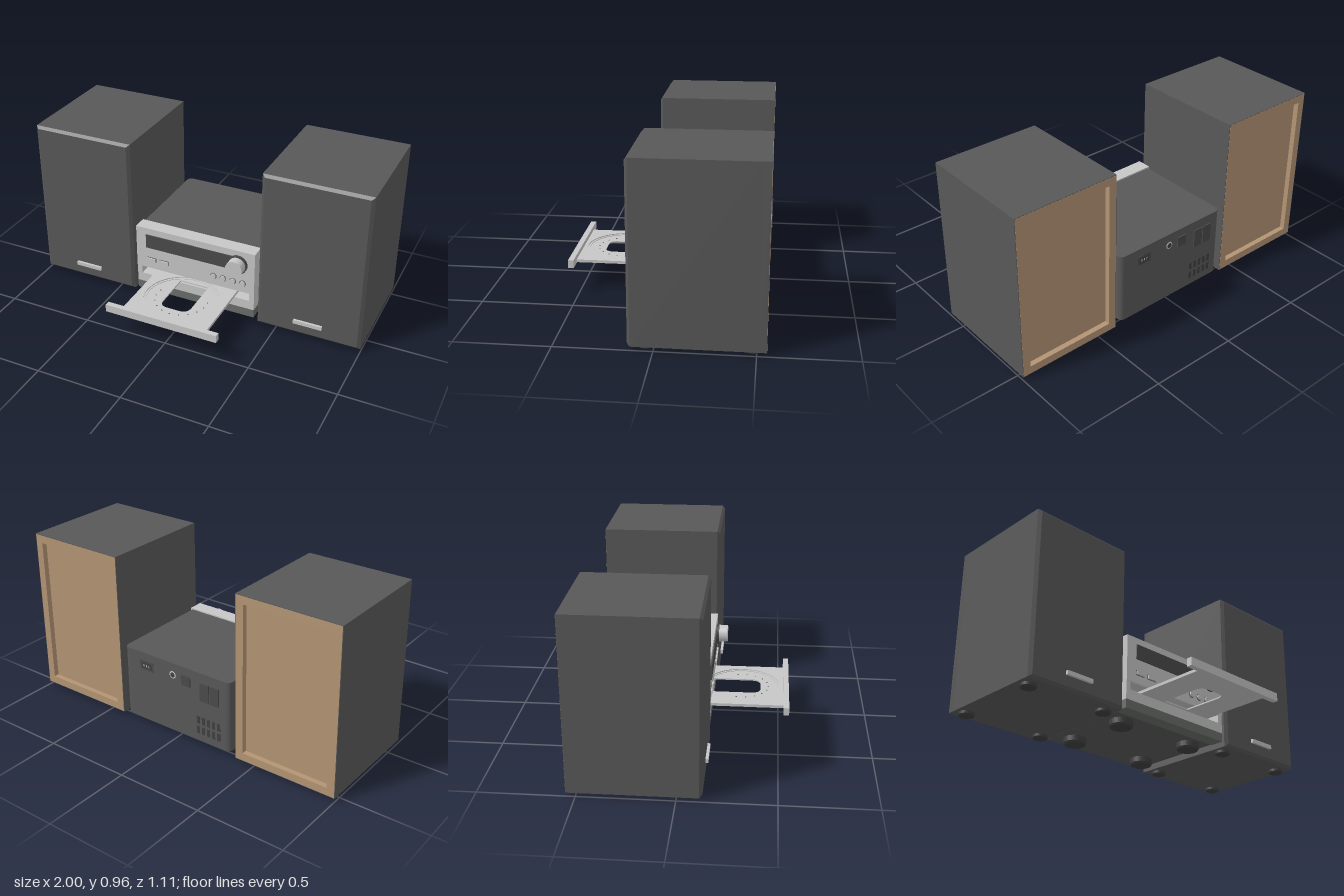
import * as THREE from 'three';

const mat = (name, color, side = THREE.FrontSide) => {
  const m = new THREE.MeshStandardMaterial({ color, side });
  m.name = name;
  return m;
};

export function createModel() {
  const dark = mat('charcoal casing', 0x585858);
  const black = mat('black rubber', 0x404040);
  const glass = mat('display black', 0x4a4a4a);
  const silver = mat('silver', 0xc6c6c6);
  const strip = mat('base grey', 0x696d69);
  const wood = mat('fibreboard', 0xb39473);

  const root = new THREE.Group();
  root.name = 'stereoSystem';

  const add = (parent, name, geo, material, x = 0, y = 0, z = 0) => {
    const m = new THREE.Mesh(geo, material);
    m.name = name;
    m.position.set(x, y, z);
    parent.add(m);
    return m;
  };
  // Box given by its limits on each axis
  const box = (parent, name, material, x0, x1, y0, y1, z0, z1) =>
    add(parent, name, new THREE.BoxGeometry(x1 - x0, y1 - y0, z1 - z0), material,
      (x0 + x1) / 2, (y0 + y1) / 2, (z0 + z1) / 2);
  // Disc or knob facing along z
  const disc = (parent, name, material, r, x, y, z0, z1, rFront = r) =>
    add(parent, name, new THREE.CylinderGeometry(rFront, r, z1 - z0, 40).rotateX(Math.PI / 2),
      material, x, y, (z0 + z1) / 2);
  const rect = (x0, x1, y0, y1, Kind = THREE.Shape) => {
    const s = new Kind();
    s.moveTo(x0, y0);
    s.lineTo(x1, y0);
    s.lineTo(x1, y1);
    s.lineTo(x0, y1);
    s.closePath();
    return s;
  };
  const extrude = (shape, depth) =>
    new THREE.ExtrudeGeometry(shape, { depth, bevelEnabled: false, curveSegments: 32 });
  // Rectangular frame lying in the xy plane
  const frame = (w, h, border, depth) => {
    const s = rect(-w / 2, w / 2, -h / 2, h / 2);
    const a = w / 2 - border, b = h / 2 - border;
    s.holes.push(rect(-a, a, -b, b, THREE.Path));
    return extrude(s, depth);
  };
  const foot = (parent, r, h, x, z) => {
    const profile = [[0, 0], [r * 0.9, 0], [r, h * 0.25], [r, h]].map(p => new THREE.Vector2(...p));
    const g = new THREE.LatheGeometry(profile, 32).toNonIndexed();
    g.computeVertexNormals();
    add(parent, 'foot', g, black, x, 0, z);
  };

  // ---- Speakers ----
  const W = 0.606, H = 0.945, midY = 0.4925;
  for (const side of [-1, 1]) {
    const sp = new THREE.Group();
    sp.name = side > 0 ? 'leftSpeaker' : 'rightSpeaker';
    sp.position.x = side * 0.697;
    root.add(sp);
    box(sp, 'cabinet', dark, -W / 2, W / 2, 0.02, 0.965, -0.51, 0.115);
    add(sp, 'cabinetRearEdge', frame(W, H, 0.003, 0.039), dark, 0, midY, -0.549);
    add(sp, 'rearFrame', frame(W - 0.006, H - 0.006, 0.044, 0.037), wood, 0, midY, -0.55);
    box(sp, 'rearPanel', wood, -0.27, 0.27, 0.06, 0.925, -0.52, -0.505);
    // Grille with its front edges chamfered
    const grille = new THREE.BoxGeometry(W, H, 0.015);
    const p = grille.attributes.position;
    for (let i = 0; i < p.count; i++) {
      if (p.getZ(i) > 0) {
        p.setX(i, p.getX(i) - Math.sign(p.getX(i)) * 0.018);
        p.setY(i, p.getY(i) - Math.sign(p.getY(i)) * 0.015);
      }
    }
    grille.computeVertexNormals();
    add(sp, 'grille', grille, dark, 0, midY, 0.1225);
    box(sp, 'badge', silver, -0.083, 0.083, 0.093, 0.115, 0.129, 0.145);
    for (const x of [-0.24, 0.24]) for (const z of [0.043, -0.48]) foot(sp, 0.042, 0.021, x, z);
  }

  // ---- Receiver casing with rounded rear corners ----
  const rc = new THREE.Group();
  rc.name = 'receiver';
  root.add(rc);
  const plan = new THREE.Shape();
  plan.moveTo(-0.36, 0.04);
  plan.lineTo(-0.36, -0.515);
  plan.quadraticCurveTo(-0.36, -0.55, -0.325, -0.55);
  plan.lineTo(0.325, -0.55);
  plan.quadraticCurveTo(0.36, -0.55, 0.36, -0.515);
  plan.lineTo(0.36, 0.04);
  add(rc, 'casing', extrude(plan, 0.412).rotateX(Math.PI / 2), dark, 0, 0.452, 0);
  for (const x of [-0.255, 0.255]) for (const z of [-0.042, -0.425]) foot(rc, 0.065, 0.041, x, z);

  // ---- Front panel ----
  box(rc, 'upperFascia', silver, -0.37, 0.37, 0.197, 0.46, 0.04, 0.124);
  const lower = rect(-0.37, 0.37, 0.09, 0.197);
  lower.holes.push(rect(-0.34, 0.34, 0.146, 0.194, THREE.Path));
  add(rc, 'lowerFascia', extrude(lower, 0.081), silver, 0, 0, 0.04);
  box(rc, 'bayBack', silver, -0.345, 0.345, 0.14, 0.196, 0.038, 0.045);
  box(rc, 'baseStrip', strip, -0.37, 0.37, 0.04, 0.09, 0.04, 0.121);
  box(rc, 'display', glass, -0.305, 0.3, 0.335, 0.42, 0.12, 0.131);
  disc(rc, 'knobRing', glass, 0.057, 0.27, 0.375, 0.12, 0.14);
  disc(rc, 'knob', silver, 0.05, 0.27, 0.375, 0.13, 0.19);
  for (const x of [-0.275, -0.192]) {
    box(rc, 'buttonSurround', strip, x - 0.031, x + 0.031, 0.242, 0.27, 0.12, 0.126);
    box(rc, 'button', silver, x - 0.027, x + 0.027, 0.246, 0.266, 0.12, 0.133);
  }
  for (const x of [0.12, 0.18, 0.24, 0.3]) {
    disc(rc, 'roundButtonRing', strip, 0.02, x, 0.255, 0.12, 0.126);
    disc(rc, 'roundButton', silver, 0.016, x, 0.255, 0.12, 0.134);
  }

  // ---- Disc tray: stacked plates, the upper two with stepped round wells ----
  const tray = new THREE.Group();
  tray.name = 'discTray';
  root.add(tray);
  const opening = () => {
    const h = new THREE.Path();
    h.moveTo(-0.088, 0.12);
    h.lineTo(-0.088, 0.34);
    h.quadraticCurveTo(-0.088, 0.395, -0.035, 0.395);
    h.lineTo(0.035, 0.395);
    h.quadraticCurveTo(0.088, 0.395, 0.088, 0.34);
    h.lineTo(0.088, 0.12);
    h.closePath();
    return h;
  };
  const layer = (name, r, top, thick) => {
    const s = rect(-0.255, 0.255, 0.05, 0.526);
    s.holes.push(r ? new THREE.Path().absarc(0, 0.29, r, 0, Math.PI * 2) : opening());
    add(tray, name, extrude(s, thick).rotateX(Math.PI / 2), silver, 0, top, 0);
  };
  layer('trayFloor', 0, 0.162, 0.008);
  layer('trayStep', 0.202, 0.165, 0.003);
  layer('trayTop', 0.214, 0.17, 0.005);
  box(tray, 'trayFront', silver, -0.335, 0.335, 0.15, 0.195, 0.525, 0.556);
  for (let i = 0; i < 11; i++) {
    const a = -0.2 + i * (Math.PI + 0.4) / 10;
    add(tray, 'trayPin', new THREE.CylinderGeometry(0.004, 0.004, 0.002, 8), strip,
      Math.cos(a) * 0.15, 0.163, 0.29 + Math.sin(a) * 0.15);
  }

  // ---- Rear sockets ----
  const rear = new THREE.Group();
  rear.name = 'rearSockets';
  root.add(rear);
  box(rear, 'powerInlet', glass, 0.155, 0.25, 0.35, 0.405, -0.552, -0.54);
  box(rear, 'powerInletRecess', black, 0.17, 0.235, 0.36, 0.395, -0.554, -0.545);
  for (const x of [0.185, 0.2025, 0.22])
    box(rear, 'powerPin', silver, x - 0.002, x + 0.002, 0.37, 0.385, -0.555, -0.55);
  disc(rear, 'aerialRing', silver, 0.021, 0.02, 0.382, -0.552, -0.54);
  disc(rear, 'aerialSocket', black, 0.014, 0.02, 0.382, -0.554, -0.54);
  box(rear, 'aerialTerminal', glass, -0.1, -0.04, 0.345, 0.405, -0.556, -0.54);
  for (const x of [-0.26, -0.195])
    box(rear, 'speakerTerminal', glass, x - 0.029, x + 0.029, 0.288, 0.395, -0.556, -0.54);
  for (let c = 0; c < 5; c++) for (const y of [0.105, 0.165]) {
    const x = -0.15 - c * 0.034;
    box(rear, 'ventSlot', black, x - 0.01, x + 0.01, y - 0.022, y + 0.022, -0.552, -0.545);
  }
  return root;
}
